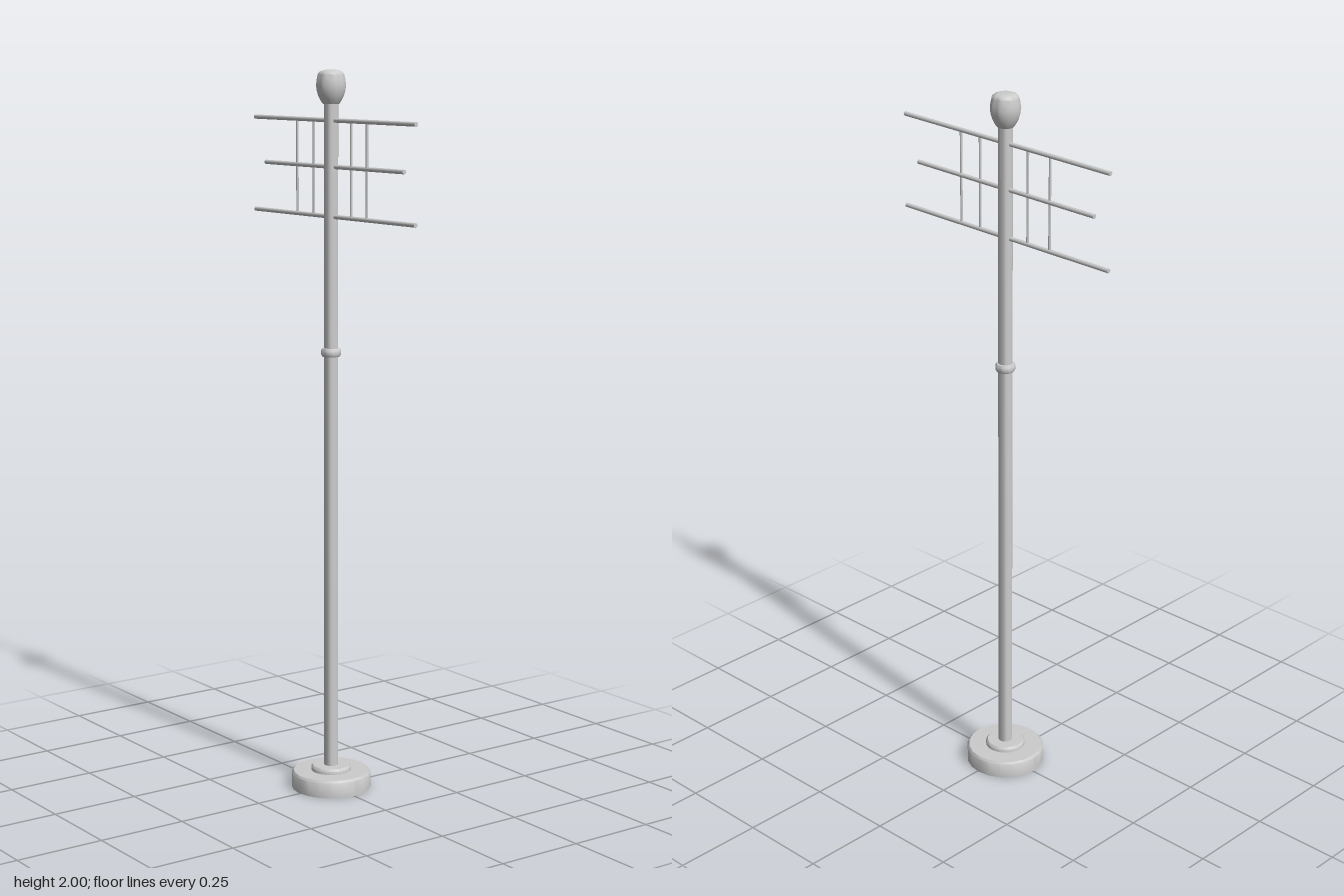
import * as THREE from 'three';
import { toCreasedNormals } from 'three/addons/utils/BufferGeometryUtils.js';

const material = new THREE.MeshStandardMaterial({ color: 0xcccccc });

export function createModel() {
  const model = new THREE.Group();
  const POLE_Z = -0.005;

  const add = (name, geometry) => {
    const mesh = new THREE.Mesh(geometry, material);
    mesh.name = name;
    model.add(mesh);
    return mesh;
  };

  // Turned part around the pole axis, profile given bottom to top as [radius, y]
  const turned = (name, profile, sides) => {
    const points = profile.map(([r, y]) => new THREE.Vector2(r, y));
    const geometry = toCreasedNormals(new THREE.LatheGeometry(points, sides), 0.7);
    add(name, geometry).position.z = POLE_Z;
  };

  // Straight round bar between two points
  const bar = (name, from, to, radius) => {
    const a = new THREE.Vector3(...from);
    const b = new THREE.Vector3(...to);
    const mesh = add(name, new THREE.CylinderGeometry(radius, radius, a.distanceTo(b), 12));
    mesh.position.copy(a).add(b).multiplyScalar(0.5);
    mesh.quaternion.setFromUnitVectors(new THREE.Vector3(0, 1, 0), b.sub(a).normalize());
  };

  // Foot plate with a raised collar
  turned('base', [[0, 0], [0.111, 0], [0.111, 0.043], [0.106, 0.049], [0, 0.05]], 20);
  turned('baseCollar', [[0.056, 0.045], [0.056, 0.058], [0.051, 0.064], [0, 0.064]], 32);

  // Pole and the ring around its middle
  turned('pole', [[0.0195, 0.05], [0.0195, 1.92]], 24);
  turned('poleRing', [
    [0.0195, 1.225], [0.024, 1.226], [0.027, 1.231], [0.027, 1.243], [0.024, 1.248], [0.0195, 1.249],
  ], 24);

  // Bulb-shaped finial with a shallow cap
  turned('finial', [
    [0, 1.908], [0.022, 1.909], [0.029, 1.919], [0.035, 1.932], [0.039, 1.946],
    [0.04, 1.958], [0.039, 1.972], [0.036, 1.985],
  ], 32);
  turned('finialCap', [
    [0.036, 1.985], [0.035, 1.99], [0.03, 1.995], [0.02, 1.9985], [0.01, 1.9997], [0, 2],
  ], 32);

  // Three cross rods, dipping slightly toward the back
  [[1.866, 0.368, 0], [1.742, 0.318, 0.001], [1.608, 0.368, 0]].forEach(([y, reach, x]) => {
    bar('crossRod', [x, y + 0.002, reach], [x, y - 0.003, -reach], 0.006);
  });

  // Thin uprights joining the rods
  [0.157, 0.087, -0.085, -0.163].forEach((z) => {
    bar('upright', [0, 1.606, z], [0, 1.865, z], 0.0035);
  });

  return model;
}
